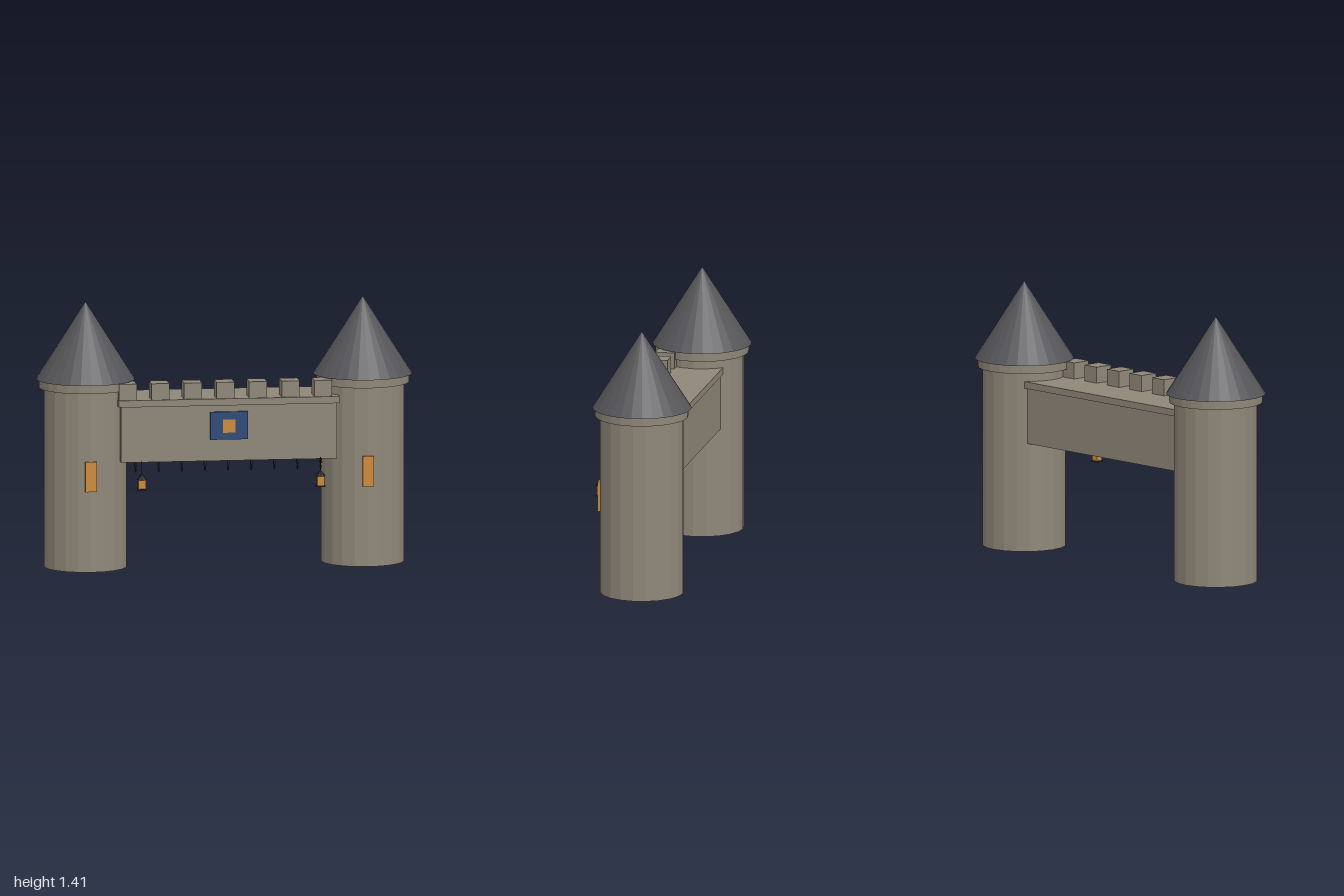
import * as THREE from 'three';

const mat = (name, color, flatShading = true) => {
  const m = new THREE.MeshStandardMaterial({ color, flatShading });
  m.name = name;
  return m;
};

export function createModel() {
  const stone = mat('stone', 0x8f8779);
  const slate = mat('slate', 0x56565a);
  const amber = mat('amber', 0xcc8a3c);
  const blue = mat('blue cloth', 0x2c4a78);
  const iron = mat('iron', 0x242427);

  const root = new THREE.Group();
  root.name = 'gatehouse';

  const add = (parent, name, geometry, material, x, y, z) => {
    const mesh = new THREE.Mesh(geometry, material);
    mesh.name = name;
    mesh.position.set(x, y, z);
    parent.add(mesh);
    return mesh;
  };
  const group = (name, x, y, z) => {
    const g = new THREE.Group();
    g.name = name;
    g.position.set(x, y, z);
    root.add(g);
    return g;
  };
  const box = (w, h, d) => new THREE.BoxGeometry(w, h, d);
  const cyl = (top, bottom, h, sides) => new THREE.CylinderGeometry(top, bottom, h, sides);

  for (const side of [-1, 1]) {
    const label = side > 0 ? 'left' : 'right';

    // Round tower with collar, conical roof and lit window
    const tower = group(label + 'Tower', side * 0.737, 0, -0.023);
    add(tower, 'towerBody', cyl(0.221, 0.221, 0.96, 20), stone, 0, 0.48, 0);
    add(tower, 'towerCollar', cyl(0.246, 0.246, 0.045, 24), stone, 0, 0.9775, 0);
    add(tower, 'towerRoof', new THREE.ConeGeometry(0.262, 0.412, 28), slate, 0, 1.206, 0);
    add(tower, 'towerWindow', box(0.06, 0.16, 0.024), amber, 0, 0.51, 0.22);

    // Hanging lantern
    const lantern = group(label + 'Lantern', side * 0.475, 0, 0.257);
    add(lantern, 'lanternCord', cyl(0.0025, 0.0025, 0.08, 6), iron, 0, 0.56, 0);
    add(lantern, 'lanternRoof', cyl(0.005, 0.028, 0.028, 8), iron, 0, 0.513, 0);
    add(lantern, 'lanternGlass', box(0.038, 0.05, 0.038), amber, 0, 0.475, 0);
    add(lantern, 'lanternBase', box(0.046, 0.008, 0.046), iron, 0, 0.447, 0);
  }

  // Bridge wall and its ledge
  add(root, 'bridgeWall', box(1.146, 0.297, 0.335), stone, 0, 0.7265, 0.0075);
  add(root, 'bridgeLedge', box(1.174, 0.036, 0.359), stone, 0, 0.892, 0.0075);

  // Battlements along the front edge
  for (let i = 0; i < 7; i++) {
    add(root, 'merlon', box(0.095, 0.088, 0.104), stone, -0.537 + i * 0.173, 0.952, 0.124);
  }

  // Banner with a square emblem
  add(root, 'banner', box(0.2, 0.148, 0.015), blue, 0, 0.766, 0.178);
  add(root, 'bannerEmblem', box(0.066, 0.07, 0.008), amber, 0, 0.764, 0.187);

  // Row of gate spikes under the wall
  for (let i = 0; i < 9; i++) {
    const spike = group('gateSpike', -0.492 + i * 0.123, 0, 0.14);
    add(spike, 'spikeBracket', box(0.011, 0.03, 0.024), iron, 0, 0.565, 0);
    add(spike, 'spikeShaft', cyl(0.003, 0.003, 0.02, 6), iron, 0, 0.545, 0);
    add(spike, 'spikeTip', cyl(0.007, 0.003, 0.02, 6), iron, 0, 0.529, 0);
  }

  return root;
}
